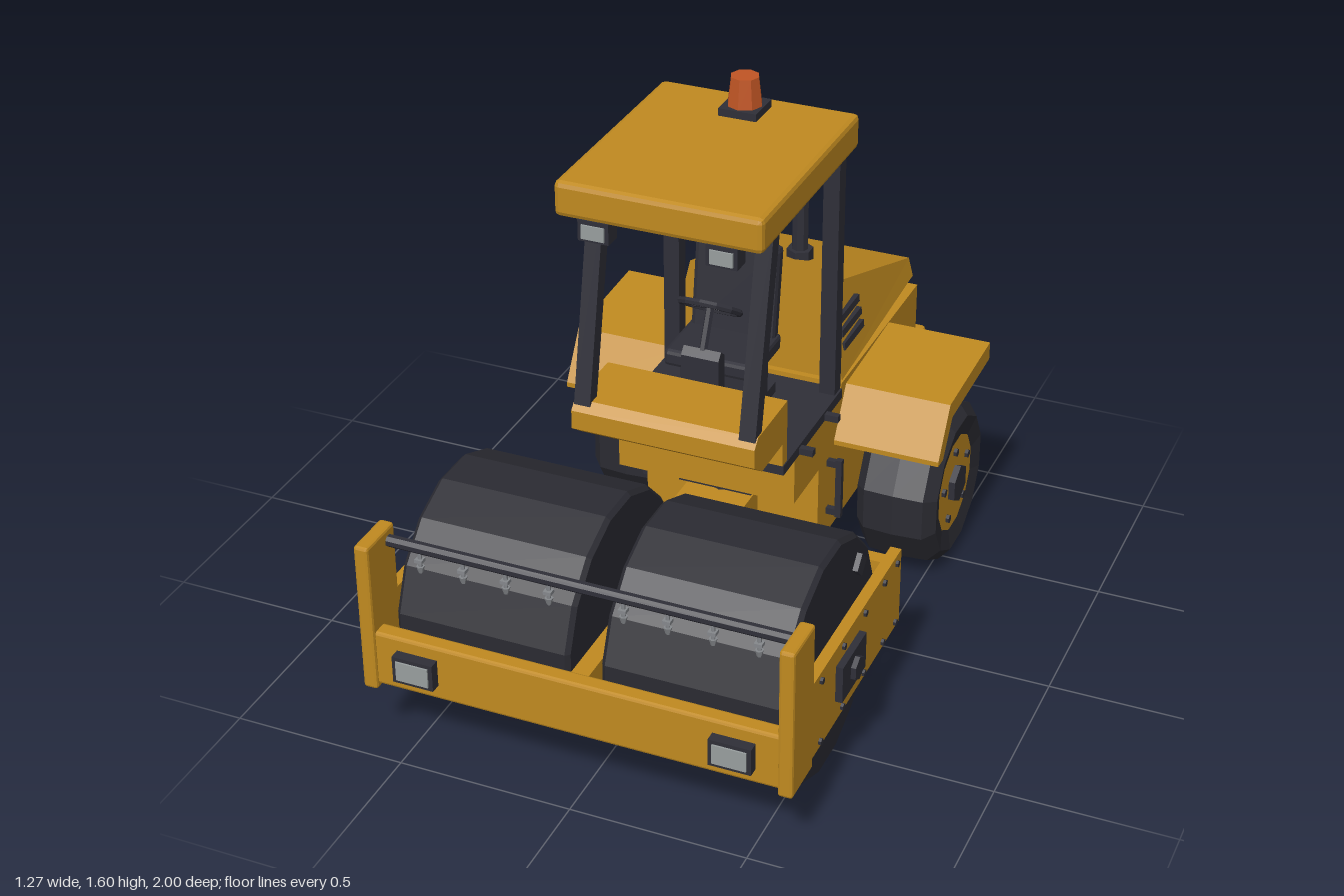
import * as THREE from 'three';
import { RoundedBoxGeometry } from 'three/addons/geometries/RoundedBoxGeometry.js';

const mat = (name, color) => {
  const m = new THREE.MeshStandardMaterial({ color });
  m.name = name;
  return m;
};

export function createModel() {
  const root = new THREE.Group();
  root.name = 'roadRoller';
  const yellow = mat('yellowPaint', 0xc08a20);
  const dark = mat('darkMetal', 0x2f2f38);
  const rubber = mat('rubber', 0x2b2b32);
  const orange = mat('orangeLamp', 0xc05524);
  const glass = mat('lampGlass', 0x989e9e);
  const steel = mat('nozzleSteel', 0x85888c);

  // Faceted shading for every hard-edged part
  const flat = (g) => {
    const f = g.index ? g.toNonIndexed() : g;
    f.computeVertexNormals();
    return f;
  };
  const add = (name, m, g, x = 0, y = 0, z = 0) => {
    const mesh = new THREE.Mesh(flat(g), m);
    mesh.name = name;
    mesh.position.set(x, y, z);
    root.add(mesh);
    return mesh;
  };
  // Box given by its extents; optional chamfer
  const box = (name, m, x0, x1, y0, y1, z0, z1, r = 0) => {
    const s = [x1 - x0, y1 - y0, z1 - z0];
    const g = r ? new RoundedBoxGeometry(...s, 1, r) : new THREE.BoxGeometry(...s);
    return add(name, m, g, (x0 + x1) / 2, (y0 + y1) / 2, (z0 + z1) / 2);
  };
  // Side profile of [z, y] points extruded across x
  const profile = (name, m, pts, x0, x1) => {
    const shape = new THREE.Shape(pts.map((p) => new THREE.Vector2(...p)));
    const g = new THREE.ExtrudeGeometry(shape, { depth: x1 - x0, bevelEnabled: false });
    g.rotateY(-Math.PI / 2).translate(x1, 0, 0);
    return add(name, m, g);
  };
  // Cylinder lying along x, with a flat facet on top
  const cylX = (name, m, r, w, n, x, y, z) => {
    const g = new THREE.CylinderGeometry(r, r, w, n).rotateY(Math.PI / n).rotateZ(Math.PI / 2);
    return add(name, m, g, x, y, z);
  };
  const cylY = (name, m, rt, rb, y0, y1, n, x, z) =>
    add(name, m, new THREE.CylinderGeometry(rt, rb, y1 - y0, n), x, (y0 + y1) / 2, z);
  // Revolved [radius, offset] profile about x
  const latheX = (name, m, pts, n, x, y, z) => {
    const g = new THREE.LatheGeometry(pts.map((p) => new THREE.Vector2(...p)), n);
    return add(name, m, g.rotateY(Math.PI / n).rotateZ(-Math.PI / 2), x, y, z);
  };
  const rod = (name, m, a, b, r, n = 6) =>
    add(name, m, new THREE.TubeGeometry(
      new THREE.LineCurve3(new THREE.Vector3(...a), new THREE.Vector3(...b)), 1, r, n));

  // Drum frame
  box('frontBeam', yellow, -0.58, 0.58, 0.22, 0.385, 0.915, 0.965, 0.008);
  box('rearBeam', yellow, -0.6, 0.6, 0.215, 0.42, 0.148, 0.19);
  box('centreBar', yellow, -0.025, 0.025, 0.3, 0.38, 0.18, 0.93);
  profile('scraper', yellow, [[0.925, 0.225], [0.865, 0.15], [0.85, 0.16], [0.9, 0.225]], -0.53, 0.53);
  cylX('sprayPipe', dark, 0.017, 1.15, 8, 0, 0.615, 0.865);

  for (const s of [-1, 1]) {
    // Mirrors an x range to either side
    const X = (a, b) => (s > 0 ? [a, b] : [-b, -a]);

    // Drum and its frame side
    latheX('drum', rubber, [[0, -0.2525], [0.328, -0.2525], [0.34, -0.24], [0.34, 0.24],
      [0.328, 0.2525], [0, 0.2525]], 16, s * 0.2975, 0.337, 0.553);
    for (const dy of [-0.185, 0.185]) for (const dz of [-0.19, 0.19]) {
      const b = box('drumBlock', dark, ...X(0.545, 0.565), -0.025, 0.025, -0.025, 0.025);
      b.position.y = 0.337 + dy;
      b.position.z = 0.553 + dz;
      b.rotation.x = Math.PI / 4;
    }
    box('frameSide', yellow, ...X(0.57, 0.602), 0.215, 0.45, 0.15, 0.84);
    box('framePost', yellow, ...X(0.57, 0.612), 0.205, 0.652, 0.83, 0.975, 0.008);
    box('axlePlate', dark, ...X(0.6, 0.622), 0.285, 0.395, 0.475, 0.65);
    cylX('axleBolt', dark, 0.035, 0.02, 6, s * 0.626, 0.34, 0.56);
    for (const z of [0.19, 0.29, 0.44, 0.6, 0.76]) for (const y of [0.235, 0.428])
      cylX('frameBolt', dark, 0.01, 0.012, 6, s * 0.604, y, z);

    // Spray nozzles
    for (const x of [0.105, 0.228, 0.352, 0.477]) {
      cylY('nozzleStem', steel, 0.006, 0.006, 0.555, 0.605, 6, s * x, 0.868);
      cylY('nozzleTip', steel, 0.012, 0.006, 0.54, 0.56, 6, s * x, 0.868);
      box('nozzleCollar', steel, s * x - 0.011, s * x + 0.011, 0.574, 0.584, 0.858, 0.88);
    }

    // Headlamps
    box('headlampFrame', dark, ...X(0.39, 0.508), 0.265, 0.345, 0.96, 0.995);
    box('headlampGlass', glass, ...X(0.402, 0.496), 0.276, 0.334, 0.994, 1.0);

    // Rear wheel
    latheX('tyre', rubber, [[0.15, -0.11], [0.21, -0.122], [0.247, -0.09], [0.252, 0],
      [0.247, 0.09], [0.21, 0.122], [0.15, 0.11]], 12, s * 0.423, 0.245, -0.537);
    cylX('rim', yellow, 0.158, 0.216, 12, s * 0.423, 0.245, -0.537);
    cylX('wheelHub', dark, 0.06, 0.04, 6, s * 0.53, 0.245, -0.537);
    for (let i = 0; i < 5; i++) {
      const a = 0.4 + (i * Math.PI * 2) / 5;
      cylX('wheelBolt', dark, 0.013, 0.016, 6, s * 0.533,
        0.245 + 0.11 * Math.sin(a), -0.537 - 0.11 * Math.cos(a));
    }
    profile('fender', yellow, [[-0.222, 0.49], [-0.222, 0.505], [-0.31, 0.645], [-0.67, 0.66],
      [-0.67, 0.605], [-0.335, 0.592], [-0.265, 0.49]], ...X(0.25, 0.578));

    // Canopy posts and work lamps
    box('rearPost', dark, ...X(0.215, 0.262), 0.64, 1.41, -0.272, -0.225);
    profile('frontPost', dark, [[0.373, 0.83], [0.33, 0.83], [0.208, 1.41], [0.253, 1.41]],
      ...X(0.215, 0.262));
    box('workLampHousing', dark, ...X(0.135, 0.222), 1.345, 1.405, 0.35, 0.402);
    box('workLampGlass', glass, ...X(0.146, 0.211), 1.353, 1.393, 0.4, 0.407);

    // Hood vents, following the tilted hood side
    for (const y of [0.752, 0.792, 0.832]) {
      const v = box('hoodVent', dark, ...X(0.215, 0.254 - (y - 0.752) * 0.2), y - 0.011, y + 0.011, -0.48, -0.325);
      v.rotation.z = s * 0.1;
    }

    // Grab handle and step brackets
    box('grabHandle', dark, ...X(0.292, 0.31), 0.285, 0.475, -0.183, -0.165);
    for (const y of [0.3, 0.46])
      box('handleMount', dark, ...X(0.26, 0.31), y - 0.01, y + 0.01, -0.183, -0.165);
    for (const z of [-0.14, 0.055])
      box('stepBracket', dark, ...X(0.26, 0.308), 0.622, 0.642, z - 0.01, z + 0.01);

    // Rear lamps and tow blocks
    box('rearLamp', orange, ...X(0.168, 0.232), 0.42, 0.458, -0.988, -0.97);
    box('towBlock', dark, ...X(0.045, 0.095), 0.265, 0.32, -1.0, -0.97);
  }

  // Articulated joint
  box('neck', yellow, -0.1, 0.1, 0.27, 0.4, -0.05, 0.16);
  box('upperFork', dark, -0.11, 0.11, 0.425, 0.47, -0.105, 0.025);
  box('lowerFork', dark, -0.11, 0.11, 0.205, 0.25, -0.105, 0.03);
  cylY('pivotPin', dark, 0.03, 0.03, 0.185, 0.5, 8, 0, -0.035);

  // Rear chassis, ballast and platform
  profile('chassis', yellow, [[0.09, 0.625], [0.09, 0.475], [-0.1, 0.475], [-0.1, 0.22],
    [-0.9, 0.22], [-0.925, 0.5], [-0.925, 0.66], [-0.27, 0.665], [-0.27, 0.625]], -0.265, 0.265);
  box('ballast', yellow, -0.285, 0.285, 0.205, 0.5, -0.978, -0.83, 0.015);
  box('platform', dark, -0.268, 0.268, 0.62, 0.65, -0.27, 0.18);
  box('grille', dark, -0.2, 0.2, 0.535, 0.65, -0.932, -0.92);
  for (let i = 0; i < 4; i++)
    box('grilleSlat', dark, -0.2, 0.2, 0.543 + i * 0.028, 0.557 + i * 0.028, -0.944, -0.93);

  // Hood: box tapered towards the rear
  const hood = new THREE.BoxGeometry(2, 1, 1);
  const p = hood.attributes.position;
  for (let i = 0; i < p.count; i++) {
    const front = p.getZ(i) > 0, top = p.getY(i) > 0;
    const x = front ? (top ? 0.2 : 0.267) : (top ? 0.228 : 0.243);
    const y = top ? (front ? 0.965 : 0.735) : 0.677;
    p.setXYZ(i, Math.sign(p.getX(i)) * x, y, front ? -0.27 : -0.945);
  }
  add('hood', yellow, hood);

  // Exhaust with a slanted mouth
  const pipe = new THREE.CylinderGeometry(0.025, 0.025, 0.25, 8);
  const q = pipe.attributes.position;
  for (let i = 0; i < q.count; i++) if (q.getY(i) > 0) q.setY(i, 0.1 + q.getZ(i));
  add('exhaust', dark, pipe, 0, 0.985, -0.618);
  cylY('exhaustBase', dark, 0.04, 0.04, 0.82, 0.88, 6, 0, -0.618);

  // Front console and steering
  profile('console', yellow, [[0.385, 0.815], [0.36, 0.84], [0.15, 0.84], [0.15, 0.65],
    [0.182, 0.65], [0.182, 0.72], [0.33, 0.72], [0.385, 0.76]], -0.265, 0.265);
  profile('steeringColumn', dark, [[0.13, 0.65], [0.13, 0.9], [0.11, 0.92], [0.085, 0.9],
    [0.085, 0.65]], -0.055, 0.055);
  rod('steeringShaft', dark, [0, 0.9, 0.11], [0, 1.02, 0.055], 0.012);
  const wheel = new THREE.Group();
  wheel.name = 'steeringWheel';
  const ring = add('steeringRim', dark, new THREE.TorusGeometry(0.083, 0.01, 6, 12));
  ring.rotation.x = Math.PI / 2;
  wheel.add(ring);
  for (let i = 0; i < 3; i++) {
    const spoke = add('steeringSpoke', dark, new THREE.BoxGeometry(0.014, 0.01, 0.083).translate(0, 0, 0.0415));
    spoke.rotation.y = (i * Math.PI * 2) / 3;
    wheel.add(spoke);
  }
  wheel.position.set(0, 1.022, 0.055);
  wheel.rotation.x = -0.6;
  root.add(wheel);

  // Seat
  box('seatRail', dark, -0.1, 0.1, 0.65, 0.683, -0.18, 0.12);
  box('seatBase', dark, -0.1, 0.1, 0.68, 0.82, -0.12, 0.035);
  box('seatCushion', dark, -0.133, 0.133, 0.82, 0.87, -0.14, 0.075, 0.012);
  const back = box('seatBack', dark, -0.125, 0.125, 0.85, 1.13, -0.16, -0.11, 0.015);
  back.rotation.x = -0.14;

  // Canopy and beacon
  box('canopy', yellow, -0.29, 0.29, 1.4, 1.5, -0.296, 0.402, 0.015);
  box('beaconBase', dark, -0.055, 0.055, 1.495, 1.522, -0.24, -0.13);
  cylY('beacon', orange, 0.04, 0.05, 1.52, 1.605, 8, 0, -0.185);

  return root;
}
